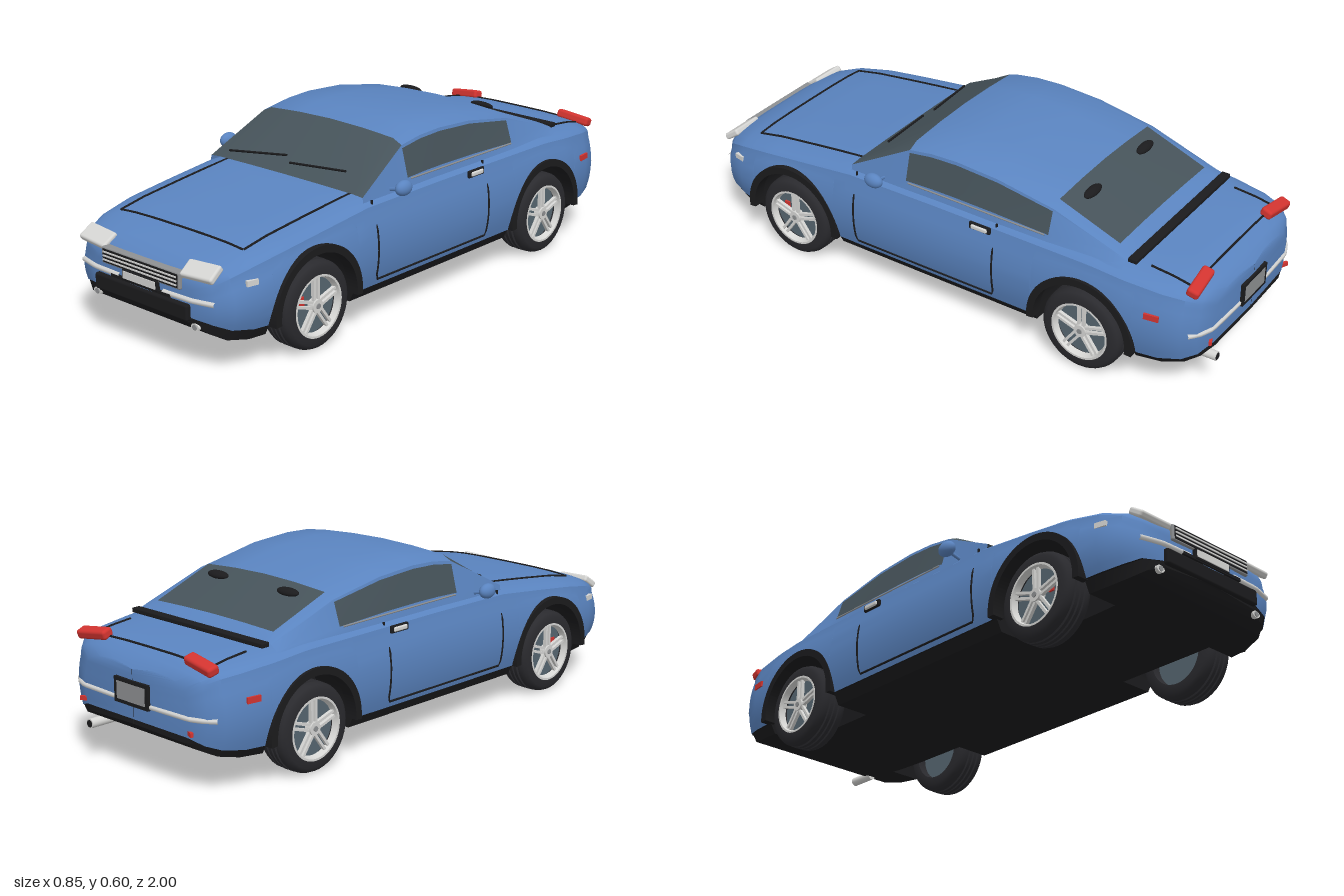
import * as THREE from 'three';
import { toCreasedNormals } from 'three/addons/utils/BufferGeometryUtils.js';
import { RoundedBoxGeometry } from 'three/addons/geometries/RoundedBoxGeometry.js';

const mat = (name, color, side = THREE.FrontSide) => new THREE.MeshStandardMaterial({ name, color, side });

// body stations: z, half width, top height, sill height, floor height
const STATIONS = [
  [0.988, 0.001, 0.30, 0.18, 0.17], [0.98, 0.23, 0.305, 0.178, 0.16], [0.96, 0.305, 0.325, 0.168, 0.135],
  [0.92, 0.345, 0.35, 0.15, 0.112], [0.85, 0.37, 0.372, 0.14, 0.1], [0.72, 0.386, 0.395, 0.135, 0.097],
  [0.55, 0.389, 0.415, 0.135, 0.097], [0.35, 0.39, 0.437, 0.135, 0.097], [0, 0.391, 0.44, 0.135, 0.097],
  [-0.6, 0.391, 0.437, 0.135, 0.097], [-0.72, 0.388, 0.427, 0.135, 0.1], [-0.85, 0.372, 0.416, 0.14, 0.11],
  [-0.92, 0.347, 0.406, 0.15, 0.125], [-0.96, 0.31, 0.388, 0.165, 0.145], [-0.983, 0.25, 0.362, 0.185, 0.165],
  [-0.992, 0.001, 0.352, 0.19, 0.175]];
const DROP = 0.055, ARCH_R = 0.185, ARCH_Y = 0.15, AXLES = [0.6, -0.58];

function profile(z) {
  let i = 0;
  while (i < STATIONS.length - 2 && z < STATIONS[i + 1][0]) i++;
  const a = STATIONS[i], b = STATIONS[i + 1];
  const t = Math.min(1, Math.max(0, (a[0] - z) / (a[0] - b[0])));
  const [, W, T, yb, yf] = a.map((v, k) => v + (b[k] - v) * t);
  return { W, T, yb, yf, ys: T - DROP };
}
function sideX(y, z) {
  const { W, ys, yb } = profile(z);
  const v = Math.min(1, Math.max(0, (y - yb) / (ys - yb)));
  return W * (1 - 0.2 * (v - 0.5) ** 2);
}
function topY(x, z) {
  const { W, ys } = profile(z);
  const s = Math.min(1, Math.abs(x) / (0.95 * W)) ** (1 / 0.6);
  return ys + DROP * Math.sqrt(1 - s * s) ** 0.6;
}
// z of the nose (dir 1) or tail (dir -1) at a given x and y
function endZ(x, y, dir) {
  for (let z = 0.988; z > 0.6; z -= 0.002)
    if (topY(x, z * dir) >= y && Math.abs(x) <= sideX(y, z * dir)) return z * dir;
  return 0.6 * dir;
}

// skins rings of points; pick(i, j) names the material of each quad
function loft(rings, pick) {
  const sets = {};
  for (let i = 0; i < rings.length - 1; i++) for (let j = 0; j < rings[i].length - 1; j++) {
    const a = rings[i][j], b = rings[i][j + 1], c = rings[i + 1][j + 1], d = rings[i + 1][j];
    (sets[pick(i, j)] ??= []).push(...a, ...d, ...c, ...a, ...c, ...b);
  }
  for (const k in sets) {
    const g = new THREE.BufferGeometry();
    g.setAttribute('position', new THREE.Float32BufferAttribute(sets[k], 3));
    sets[k] = toCreasedNormals(g, 0.6);
  }
  return sets;
}

export function createModel() {
  const car = new THREE.Group();
  car.name = 'car';
  const blue = mat('bodyBlue', 0x5a84c0, THREE.DoubleSide), glass = mat('glass', 0x46535a, THREE.DoubleSide);
  const black = mat('blackTrim', 0x1b1b1d, THREE.DoubleSide), rubber = mat('rubber', 0x2a2a2e);
  const silver = mat('silver', 0xd6d6d4), red = mat('redLens', 0xd23430), grey = mat('grey', 0x8e9092);
  const slate = mat('brakeSlate', 0x566670);

  const add = (name, geo, m, pos = [0, 0, 0], rot = [0, 0, 0], parent = car) => {
    const mesh = new THREE.Mesh(geo, m);
    mesh.name = name;
    mesh.position.set(...pos);
    mesh.rotation.set(...rot);
    parent.add(mesh);
    return mesh;
  };
  const box = (name, size, m, pos, rot, parent) => add(name, new THREE.BoxGeometry(...size), m, pos, rot, parent);
  const rbox = (name, size, r, m, pos, rot) => add(name, new RoundedBoxGeometry(...size, 3, r), m, pos, rot);
  const line = (name, pts, r, m) => {
    const path = new THREE.CurvePath();
    for (let i = 0; i < pts.length - 1; i++)
      path.add(new THREE.LineCurve3(new THREE.Vector3(...pts[i]), new THREE.Vector3(...pts[i + 1])));
    add(name, new THREE.TubeGeometry(path, (pts.length - 1) * 4, r, 6), m);
  };

  // body shell and underside with wheel wells
  const cuts = STATIONS.map(s => ({ z: s[0] })).filter(s => AXLES.every(a => Math.abs(s.z - a) > ARCH_R));
  for (const a of AXLES) {
    cuts.push({ z: a + ARCH_R + 1e-4 }, { z: a - ARCH_R - 1e-4 });
    for (let k = 0; k <= 16; k++) {
      const t = k / 16 * Math.PI;
      cuts.push({ z: a + ARCH_R * Math.cos(t), arch: ARCH_Y + ARCH_R * Math.sin(t) });
    }
  }
  cuts.sort((p, q) => q.z - p.z);
  const mirrored = half => [...half, ...half.slice(0, -1).reverse().map(([x, y, z]) => [-x, y, z])];
  const shell = [], under = [];
  for (const { z, arch } of cuts) {
    const { W, ys, yb, yf } = profile(z), low = Math.max(yb, arch ?? 0), half = [];
    for (let k = 0; k < 8; k++) {
      const y = low + (ys - low) * k / 8;
      half.push([sideX(y, z), y, z]);
    }
    for (let k = 8; k >= 0; k--) {
      const t = k / 16 * Math.PI;
      half.push([0.95 * W * Math.sin(t) ** 0.6, ys + DROP * Math.max(0, Math.cos(t)) ** 0.6, z]);
    }
    shell.push(mirrored(half));
    const e = sideX(low, z), ax = arch ? 0.22 : 0.93 * W, bx = arch ? 0.22 : 0.88 * W;
    under.push([[-e, low, z], [-ax, low, z], [-bx, yf, z], [bx, yf, z], [ax, low, z], [e, low, z]]);
  }
  add('bodyShell', loft(shell, () => 'b').b, blue);
  add('underside', loft(under, () => 'u').u, black);

  // cabin: z, top, top half width, base half width, crown depth
  const cabin = [[0.355, 0.438, 0.346, 0.35, 0.006], [0.13, 0.58, 0.315, 0.352, 0.03], [0.04, 0.599, 0.315, 0.352, 0.035],
    [-0.06, 0.603, 0.315, 0.352, 0.035], [-0.22, 0.593, 0.315, 0.352, 0.035], [-0.43, 0.552, 0.313, 0.35, 0.03],
    [-0.655, 0.461, 0.312, 0.345, 0.014], [-0.7, 0.441, 0.312, 0.34, 0.01]];
  const cabinRings = cabin.map(([z, T, xt, bx, d]) => {
    const side = f => [bx + (xt - bx) * f, 0.41 + (T - d - 0.41) * f, z];
    return mirrored([side(0), side(0.25), side(0.93), side(1),
      [xt * 0.88, T - d * 0.42, z], [xt * 0.45, T - d * 0.12, z], [0, T, z]]);
  });
  const parts = loft(cabinRings, (i, j) => {
    const col = Math.min(j, 11 - j);
    if (i === 0 && col >= 3) return 'windshield';
    if (i === 5 && col >= 4) return 'rearWindow';
    return i > 0 && i < 5 && col === 1 ? 'sideWindows' : 'roof';
  });
  for (const k in parts) add(k, parts[k], k === 'roof' ? blue : glass);

  // wheels
  const tyre = [[0.1, -0.056], [0.128, -0.056], [0.14, -0.048], [0.146, -0.034], [0.146, -0.022], [0.14, -0.02], [0.14, -0.016],
    [0.147, -0.014], [0.147, -0.002], [0.141, 0], [0.141, 0.003], [0.147, 0.005], [0.147, 0.017], [0.14, 0.019], [0.14, 0.023],
    [0.146, 0.025], [0.146, 0.034], [0.14, 0.048], [0.128, 0.056], [0.1, 0.056], [0.098, 0.03], [0.098, -0.03], [0.1, -0.056]];
  const lathe = pts => toCreasedNormals(new THREE.LatheGeometry(pts.map(p => new THREE.Vector2(...p)), 40), 0.6).rotateZ(-Math.PI / 2);
  const disc = (r, w, n = 32) => new THREE.CylinderGeometry(r, r, w, n).rotateZ(Math.PI / 2);
  for (const z of AXLES) for (const s of [1, -1]) {
    const wheel = new THREE.Group();
    wheel.name = (z > 0 ? 'front' : 'rear') + 'Wheel';
    wheel.position.set(s * 0.328, 0.147, z);
    if (s < 0) wheel.rotation.y = Math.PI;
    car.add(wheel);
    add('tyre', lathe(tyre), rubber, [0, 0, 0], [0, 0, 0], wheel);
    add('rim', lathe([[0.09, 0.036], [0.104, 0.036], [0.104, 0.057], [0.097, 0.057], [0.09, 0.036]]), silver, [0, 0, 0], [0, 0, 0], wheel);
    add('brakeDisc', disc(0.099, 0.05), slate, [0, 0, 0], [0, 0, 0], wheel);
    add('hub', disc(0.022, 0.026, 20), silver, [0.04, 0, 0], [0, 0, 0], wheel);
    add('hubCap', disc(0.009, 0.004, 12), grey, [0.054, 0, 0], [0, 0, 0], wheel);
    if (z > 0) box('caliper', [0.01, 0.035, 0.02], red, [0.026, 0.02, s * 0.05], [0, 0, 0], wheel);
    for (let k = 0; k < 5; k++) {
      const a = k / 5 * Math.PI * 2;
      for (const o of [-0.009, 0.009])
        box('spoke', [0.012, 0.085, 0.009], silver,
          [0.042, 0.055 * Math.cos(a) - o * Math.sin(a), 0.055 * Math.sin(a) + o * Math.cos(a)], [a, 0, 0], wheel);
    }
    // black arch lip
    const ring = new THREE.Shape().absarc(0, 0, 0.197, -0.08, Math.PI + 0.08, false);
    ring.absarc(0, 0, 0.172, Math.PI + 0.08, -0.08, true);
    const lip = new THREE.ExtrudeGeometry(ring, { depth: 0.045, bevelEnabled: false, curveSegments: 24 }).rotateY(Math.PI / 2);
    add('archLip', lip, black, [s > 0 ? 0.347 : -0.392, ARCH_Y, z]);
  }

  // mirrored fittings
  for (const s of [1, -1]) {
    const mirror = add('mirror', new THREE.SphereGeometry(1, 24, 16), blue, [s * 0.402, 0.445, 0.22]);
    mirror.scale.set(0.022, 0.026, 0.035);
    line('mirrorArm', [[s * 0.33, 0.425, 0.22], [s * 0.395, 0.44, 0.22]], 0.006, blue);
    rbox('headlight', [0.13, 0.024, 0.064], 0.008, silver, [s * 0.235, 0.325, 0.953], [0.6, s * 0.08, 0]);
    rbox('tailLight', [0.13, 0.032, 0.042], 0.01, red, [s * 0.255, 0.405, -0.932], [-0.3, s * 0.12, -s * 0.1]);
    line('frontTrim', [0.1, 0.16, 0.22, 0.27, 0.3].map(x => [s * x, 0.236, endZ(x, 0.236, 1) + 0.002]), 0.009, silver);
    const fog = add('fogLight', new THREE.CylinderGeometry(0.018, 0.018, 0.03, 20).rotateX(Math.PI / 2), silver, [s * 0.225, 0.15, 0.962]);
    fog.scale.y = 0.65;
    add('fogLens', new THREE.CylinderGeometry(0.009, 0.009, 0.004, 16).rotateX(Math.PI / 2), grey, [s * 0.225, 0.15, 0.978]);
    box('frontMarker', [0.012, 0.018, 0.04], silver, [s * sideX(0.295, 0.86), 0.295, 0.86], [0, -s * 0.2, 0]);
    box('rearMarker', [0.012, 0.02, 0.05], red, [s * sideX(0.3, -0.83), 0.3, -0.83], [0, s * 0.15, 0]);
    box('rearReflector', [0.04, 0.014, 0.01], red, [s * 0.25, 0.2, endZ(0.25, 0.2, -1)], [0, s * 0.4, 0]);
    rbox('handlePlate', [0.012, 0.026, 0.082], 0.005, black, [s * 0.374, 0.394, -0.19]);
    rbox('handle', [0.014, 0.016, 0.062], 0.005, silver, [s * 0.379, 0.394, -0.19]);
    line('windowSill', [[s * 0.346, 0.441, 0.12], [s * 0.346, 0.438, -0.42]], 0.003, grey);
    // door seam
    const edge = (y, z) => [s * (y > profile(z).ys ? 0.358 : sideX(y, z)), y, z];
    const ys = [0.42, 0.385, 0.33, 0.27, 0.21, 0.155];
    line('doorSeam', [...ys.map(y => edge(y, 0.325)), ...ys.reverse().map(y => edge(y, -0.245))], 0.004, black);
    const vent = add('rearVent', new THREE.SphereGeometry(1, 20, 12), black, [s * 0.165, 0.531, -0.485], [-0.38, 0, 0]);
    vent.scale.set(0.048, 0.012, 0.018);
  }

  // bonnet and boot seams
  const seam = (x, zs) => zs.map(z => [x, topY(x, z) + 0.001, z]);
  const across = (z, w) => [-1, -0.75, -0.4, 0, 0.4, 0.75, 1].map(f => [f * w, topY(f * w, z) + 0.001, z]);
  for (const s of [1, -1]) {
    line('bonnetSeam', seam(s * 0.28, [0.33, 0.45, 0.55, 0.65, 0.72, 0.82]), 0.004, black);
    line('bootSeam', seam(s * 0.275, [-0.77, -0.85, -0.92]), 0.004, black);
  }
  line('bonnetFrontSeam', across(0.82, 0.28), 0.004, black);
  line('bootRearSeam', across(-0.92, 0.275), 0.004, black);
  rbox('rearVentStrip', [0.62, 0.016, 0.032], 0.004, black, [0, 0.432, -0.72]);

  // wipers
  const onScreen = (x, y) => [x, y, 0.363 - (y - 0.437) / 0.143 * 0.225];
  line('wiper', [onScreen(-0.28, 0.457), onScreen(-0.045, 0.48)], 0.004, black);
  line('wiper', [onScreen(-0.01, 0.466), onScreen(0.22, 0.48)], 0.004, black);

  // grille, number plates and bumpers
  rbox('grilleFrame', [0.358, 0.056, 0.04], 0.006, grey, [0, 0.289, 0.972]);
  box('grilleMesh', [0.342, 0.044, 0.004], black, [0, 0.289, 0.992]);
  for (const y of [0.276, 0.289, 0.302]) box('grilleBar', [0.336, 0.005, 0.004], silver, [0, y, 0.995]);
  rbox('frontPlateFrame', [0.164, 0.036, 0.016], 0.004, black, [0, 0.248, 0.988]);
  box('frontPlate', [0.148, 0.024, 0.006], silver, [0, 0.25, 0.996]);
  box('frontSlot', [0.27, 0.01, 0.02], black, [0, 0.232, 0.984]);
  rbox('frontBumper', [0.424, 0.054, 0.05], 0.008, black, [0, 0.195, 0.972]);
  line('rearTrim', [-0.33, -0.3, -0.25, -0.12, 0, 0.12, 0.25, 0.3, 0.33].map(x => [x, 0.245, endZ(x, 0.245, -1)]), 0.009, silver);
  box('rearPlateFrame', [0.16, 0.082, 0.016], black, [0, 0.275, -0.992]);
  box('rearPlate', [0.134, 0.058, 0.004], grey, [0, 0.275, -0.999]);

  // exhaust
  const pipe = new THREE.CylinderGeometry(0.016, 0.016, 0.1, 20).rotateX(Math.PI / 2);
  add('exhaust', pipe, silver, [0.22, 0.124, -0.943]);
  add('exhaustBore', new THREE.CylinderGeometry(0.012, 0.012, 0.002, 20).rotateX(Math.PI / 2), black, [0.22, 0.124, -0.994]);
  return car;
}
